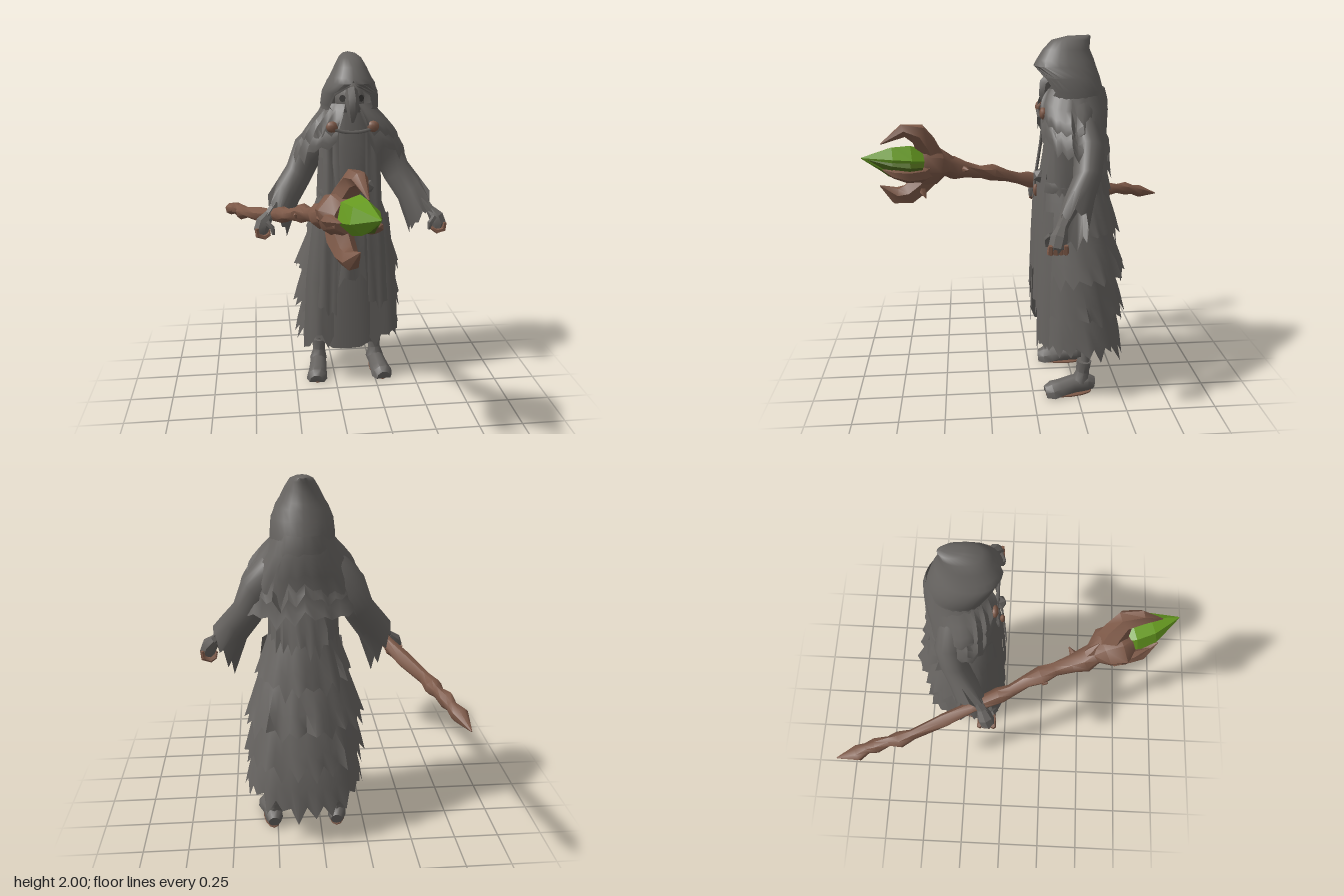
import * as THREE from 'three';
import { toCreasedNormals } from 'three/addons/utils/BufferGeometryUtils.js';

const CX = 0.09; // body centre line
const V = (x, y, z) => new THREE.Vector3(x, y, z);
const lerp = THREE.MathUtils.lerp;
const noise = (i, seed) => {
  const n = Math.sin(i * 12.9898 + seed * 78.233) * 43758.5453;
  return n - Math.floor(n);
};

const material = (name, color, side = THREE.FrontSide) => {
  const m = new THREE.MeshStandardMaterial({ color, side });
  m.name = name;
  return m;
};

// Skin a list of equal-length point rows
function loft(rows, { closed = false, caps = false, crease = 1.0 } = {}) {
  const n = rows[0].length, pos = [], idx = [];
  rows.forEach(r => r.forEach(p => pos.push(p.x, p.y, p.z)));
  for (let i = 0; i < rows.length - 1; i++) {
    for (let j = 0; j < (closed ? n : n - 1); j++) {
      const a = i * n + j, b = i * n + (j + 1) % n;
      idx.push(a, b, b + n, a, b + n, a + n);
    }
  }
  if (caps) [0, rows.length - 1].forEach((i, end) => {
    const c = rows[i].reduce((s, p) => s.add(p), V(0, 0, 0)).divideScalar(n), k = pos.length / 3;
    pos.push(c.x, c.y, c.z);
    for (let j = 0; j < n; j++) {
      const a = i * n + j, b = i * n + (j + 1) % n;
      idx.push(...(end ? [a, b, k] : [b, a, k]));
    }
  });
  const g = new THREE.BufferGeometry();
  g.setAttribute('position', new THREE.Float32BufferAttribute(pos, 3));
  g.setIndex(idx);
  g.computeVertexNormals();
  return toCreasedNormals(g, crease);
}

// Round limb through [x, y, z, radius] stations
function limb(stations, sides = 6, crease = 0.8, gnarl = 0, floor = -1) {
  const pts = stations.map(s => V(s[0], s[1], s[2]));
  let n = V(0.31, 0.9, 0.2);
  const rows = pts.map((p, i) => {
    const t = pts[Math.min(i + 1, pts.length - 1)].clone().sub(pts[Math.max(i - 1, 0)]).normalize();
    n = n.clone().addScaledVector(t, -n.dot(t)).normalize();
    const b = t.clone().cross(n);
    return Array.from({ length: sides }, (_, k) => {
      const a = k / sides * Math.PI * 2, r = stations[i][3] * (1 + gnarl * (noise(k + i * 9, 3) - 0.5));
      const q = p.clone().addScaledVector(n, Math.cos(a) * r).addScaledVector(b, Math.sin(a) * r);
      q.y = Math.max(q.y, floor);
      return q;
    });
  });
  return loft(rows, { closed: true, caps: true, crease });
}

// Point on the body outline, squarer in front than behind; angle 0 is the front
function outline(a, w, zf, zb, y) {
  const e = Math.cos(a) > 0 ? 0.85 : 0.97;
  const p = t => Math.sign(t) * Math.abs(t) ** e;
  return V(CX + w * p(Math.sin(a)), y, (zf + zb) / 2 + (zf - zb) / 2 * p(Math.cos(a)));
}

// Interpolate columns of a table whose first column is the key
function sample(table, key) {
  let i = 0;
  while (i < table.length - 2 && key > table[i + 1][0]) i++;
  const t = THREE.MathUtils.clamp((key - table[i][0]) / (table[i + 1][0] - table[i][0]), 0, 1);
  return table[i].map((v, k) => lerp(v, table[i + 1][k], t));
}

// Pleated, tattered skirt layer hung round the body
function tier(top, bottom, gap, seed, tail = 0, n = 36) {
  const rows = [0, 0.35, 0.7, 1].map(v => Array.from({ length: n + 1 }, (_, j) => {
    const a = gap + (Math.PI * 2 - 2 * gap) * j / n;
    const [y, w, zf, zb] = top.map((t, k) => lerp(t, bottom[k], v));
    const fold = 1 + v * (0.05 * (j % 2) - 0.07 * noise(j, seed));
    const drop = v ** 3 * ((j % 2 ? 0.085 : -0.02) * noise(j, seed + 1) + tail * Math.max(0, -Math.cos(a)) ** 3);
    return outline(a, w * fold, zf, lerp(zf, zb, fold), y - drop);
  }));
  return loft(rows);
}

// Hanging cloth strip following [y, z, centreX, halfWidth] stations
function strip(stations, seed, bend = 0, n = 5) {
  return loft(stations.map(([y, z, x, h], i) => Array.from({ length: n + 1 }, (_, j) => {
    const u = j / n * 2 - 1, last = i === stations.length - 1;
    return V(CX + x + u * h, y - (last ? 0.11 * noise(j, seed) : 0),
      z - 0.016 * noise(j, seed + 2) - bend * Math.max(0, u * Math.sign(x)) ** 2);
  })));
}

export function createModel() {
  const root = new THREE.Group();
  root.name = 'hoodedFigure';
  const cloth = material('greyCloth', 0x666360, THREE.DoubleSide);
  const shade = material('darkEyes', 0x3c3a38, THREE.DoubleSide);
  const wood = material('brownWood', 0x7d5948);
  const green = material('greenCrystal', 0x669a20);
  const olive = material('oliveCrystal', 0x4f6a1c);
  const add = (name, geo, mat = cloth) => {
    const m = new THREE.Mesh(geo, mat);
    m.name = name;
    root.add(m);
    return m;
  };
  const ball = (name, x, y, z, sx, sy, sz, mat) => {
    const m = add(name, new THREE.SphereGeometry(1, 10, 7), mat);
    m.position.set(x, y, z);
    m.scale.set(sx, sy, sz);
    return m;
  };

  // Inner robe: [height, half width, front z, back z], hem dipping at the centre
  const robe = [[1.68, 0.13, -0.11, -0.36], [1.5, 0.19, -0.08, -0.38], [1.2, 0.16, -0.065, -0.39],
    [0.9, 0.21, -0.06, -0.42], [0.6, 0.25, -0.05, -0.45], [0.36, 0.28, -0.045, -0.48]];
  add('innerRobe', loft(robe.map(([y, w, zf, zb], i) => Array.from({ length: 36 }, (_, j) => {
    const a = j / 36 * Math.PI * 2;
    return outline(a, w, zf, zb, y - (i === 5 ? 0.06 * noise(j, 5) + 0.11 * Math.cos(a) ** 6 : 0));
  })), { closed: true }));

  // Overlapping tattered tiers
  [[[1.42, 0.18, -0.06, -0.38], [1.19, 0.19, -0.05, -0.45]],
    [[1.23, 0.165, -0.05, -0.4], [0.97, 0.255, -0.03, -0.485]],
    [[1.02, 0.22, -0.04, -0.42], [0.73, 0.315, -0.03, -0.53]],
    [[0.78, 0.26, -0.03, -0.44], [0.51, 0.325, -0.02, -0.53]],
    [[0.55, 0.27, -0.03, -0.46], [0.33, 0.325, -0.02, -0.54]]
  ].forEach(([t, b], i) => add('skirtTier', tier(t, b, i < 1 ? 0.9 : 0.6, i + 11, i === 4 ? 0.1 : 0.02)));

  // Long front panels, under-panels and sash
  [-1, 1].forEach(s => {
    add('coatPanel', strip([[1.58, -0.075, s * 0.12, 0.045], [1.4, -0.055, s * 0.12, 0.045], [1.2, -0.025, s * 0.12, 0.05],
      [0.9, -0.012, s * 0.14, 0.055], [0.58, -0.001, s * 0.155, 0.06]], s + 4, 0.025));
    add('underPanel', strip([[1.1, -0.04, s * 0.16, 0.06], [0.7, -0.02, s * 0.19, 0.08], [0.36, -0.012, s * 0.2, 0.09]], s + 7, 0.06));
  });
  add('frontSash', strip([[1.22, -0.035, 0, 0.05], [1.05, -0.01, 0.01, 0.06], [0.88, -0.004, 0.005, 0.065], [0.76, -0.001, 0, 0.085]], 9));
  add('belt', loft([1.24, 1.215, 1.18].map((y, i) => Array.from({ length: 28 }, (_, j) =>
    outline(j / 28 * Math.PI * 2, 0.175 + 0.01 * (i % 2), -0.04, -0.41, y))), { closed: true }));
  add('sashKnot', new THREE.IcosahedronGeometry(0.042)).position.set(CX + 0.085, 1.27, -0.045);
  ball('beltBuckle', CX + 0.03, 1.175, -0.025, 0.018, 0.035, 0.015, wood);

  // Shoulder cape: rows run from collar to ragged hem, lowest at the back
  const cape = [[0, 0.16, -0.1, -0.385], [0.2, 0.19, -0.08, -0.405], [0.5, 0.26, -0.06, -0.4],
    [0.8, 0.32, -0.05, -0.4], [1, 0.335, -0.05, -0.43]];
  const capeSheet = (from, to, grow, seed) => loft([0, 0.2, 0.45, 0.7, 0.85, 1].map(v => Array.from({ length: 41 }, (_, j) => {
    const a = 0.22 + (Math.PI * 2 - 0.44) * j / 40, [, w, zf, zb] = sample(cape, v);
    const side = Math.abs(Math.sin(a)), back = Math.max(0, -Math.cos(a));
    const hem = to - 0.13 * side - 0.2 * back - (j % 2) * 0.08 * noise(j, seed);
    const ripple = 1 - 0.05 * v * noise(j, seed + 1);
    return outline(a, w * grow * ripple, zf + 0.01, lerp(zf, zb - 0.01 * grow, ripple), lerp(from, hem, v));
  })));
  add('shoulderCape', capeSheet(1.7, 1.56, 1, 21));
  add('cowl', capeSheet(1.73, 1.65, 0.87, 25));

  // Hood: [height, half width, front z, back z, opening angle]
  const hood = [[2.0, 0, -0.295, -0.305, 0], [1.995, 0.035, -0.19, -0.315, 0], [1.975, 0.062, -0.11, -0.312, 0],
    [1.93, 0.088, -0.065, -0.31, 0], [1.875, 0.115, -0.03, -0.335, 0], [1.845, 0.135, -0.015, -0.345, 0.08],
    [1.79, 0.158, -0.04, -0.365, 0.65], [1.72, 0.165, -0.07, -0.385, 0.85], [1.66, 0.165, -0.08, -0.4, 0.4]];
  const hoodRows = shrink => hood.map(([y, w, zf, zb, gap]) => Array.from({ length: 25 }, (_, j) =>
    outline(gap + (Math.PI * 2 - 2 * gap) * j / 24, w * shrink, lerp(-0.22, zf, shrink), lerp(-0.22, zb, shrink), y - (1 - shrink) * 0.2)));
  add('hood', loft(hoodRows(1)));
  add('hoodLining', loft(hoodRows(0.94)));

  // Masked face with a drooping beak
  ball('maskFace', CX, 1.74, -0.19, 0.085, 0.1, 0.1, cloth);
  add('maskBeak', limb([[CX, 1.8, -0.13, 0.036], [CX, 1.75, -0.08, 0.04], [CX, 1.69, -0.07, 0.03], [CX, 1.63, -0.075, 0.01]], 6));
  [-1, 1].forEach(s => {
    const eye = add('eyeHole', new THREE.CircleGeometry(0.02, 8), shade);
    eye.position.set(CX + s * 0.052, 1.76, -0.1);
    eye.rotation.y = s * 0.5;
  });

  // Clasps joined by a cord
  [-1, 1].forEach(s => ball('clasp', CX + s * 0.115, 1.61, -0.055, 0.034, 0.032, 0.02, wood));
  add('claspCord', new THREE.TubeGeometry(new THREE.QuadraticBezierCurve3(
    V(CX - 0.11, 1.6, -0.05), V(CX, 1.56, -0.04), V(CX + 0.11, 1.6, -0.05)), 10, 0.01, 5));

  [-1, 1].forEach(s => {
    const X = x => CX + s * x;
    const place = list => list.map(([x, y, z, r]) => [X(x), y, z, r]);

    // Wide sleeve: [outer x, outer y, inner x, inner y, z, half depth]
    const sleeve = [[0.2, 1.62, 0.12, 1.4, -0.25, 0.09], [0.31, 1.5, 0.18, 1.34, -0.28, 0.08],
      [0.36, 1.36, 0.225, 1.255, -0.265, 0.075], [0.42, 1.28, 0.3, 1.14, -0.215, 0.08], [0.48, 1.2, 0.37, 0.99, -0.175, 0.085]];
    add('sleeve', loft(sleeve.map(([ox, oy, ix, iy, z, h], i) => Array.from({ length: 16 }, (_, j) => {
      const a = j / 16 * Math.PI * 2, t = (1 - Math.cos(a)) / 2;
      const rag = i === 4 ? 0.07 * noise(j, 31) * (j % 2) : 0;
      return V(X(lerp(ox, ix, t)), lerp(oy, iy, t) - rag, z + h * Math.sin(a));
    })), { closed: true }));

    // Forearm, fist and curled fingers
    add('forearm', limb(place([[0.36, 1.24, -0.22, 0.04], [0.44, 1.14, -0.14, 0.03], [0.49, 1.08, -0.1, 0.028]])));
    add('hand', limb(place([[0.475, 1.1, -0.115, 0.028], [0.51, 1.06, -0.095, 0.045], [0.525, 1.02, -0.085, 0.044], [0.52, 0.99, -0.08, 0.03]]), 7, 0.5));
    for (let f = 0; f < 4; f++) {
      const z = -0.125 + f * 0.025;
      add('finger', limb(place([[0.55, 1.035, z, 0.012], [0.545, 0.995, z, 0.016], [0.505, 0.982, z, 0.015], [0.475, 1.0, z, 0.009]]), 5), wood);
    }
    add('thumb', limb(place([[0.49, 1.07, -0.06, 0.016], [0.46, 1.04, -0.04, 0.016], [0.455, 1.0, -0.04, 0.009]]), 5));

    // Bare knee, leg, ankle boot and sole
    add('knee', limb(place([[0.165, 0.52, -0.27, 0.05], [0.168, 0.36, -0.29, 0.034], [0.17, 0.28, -0.3, 0.027]]), 8), wood);
    add('leg', limb(place([[0.17, 0.29, -0.298, 0.025], [0.176, 0.2, -0.3, 0.026], [0.178, 0.15, -0.3, 0.03]]), 8));
    add('bootCuff', limb(place([[0.18, 0.195, -0.292, 0.044], [0.18, 0.13, -0.285, 0.038], [0.185, 0.07, -0.27, 0.055]]), 8));
    add('shoe', limb(place([[0.18, 0.05, -0.35, 0.035], [0.182, 0.06, -0.31, 0.052], [0.19, 0.055, -0.23, 0.053],
      [0.2, 0.03, -0.16, 0.06], [0.208, 0.018, -0.11, 0.066], [0.212, 0.013, -0.068, 0.045]]), 9, 0.8, 0, 0.007));
    const sole = add('sole', new THREE.CylinderGeometry(1, 1, 0.007, 12), wood);
    sole.position.set(X(0.194), 0.0035, -0.205);
    sole.scale.set(0.05, 1, 0.135);
    sole.rotation.y = s * 0.1;
  });

  // Gnarled, knotty staff
  add('staffShaft', limb([[-0.655, 0.92, -0.91, 0.003], [-0.625, 0.945, -0.79, 0.045], [-0.6, 0.965, -0.74, 0.032],
    [-0.585, 0.975, -0.69, 0.042], [-0.56, 0.985, -0.62, 0.03], [-0.55, 0.985, -0.56, 0.047], [-0.52, 1.005, -0.49, 0.031],
    [-0.44, 1.04, -0.32, 0.04], [-0.37, 1.08, -0.17, 0.032], [-0.31, 1.125, -0.02, 0.047], [-0.285, 1.14, 0.04, 0.033],
    [-0.24, 1.17, 0.12, 0.037], [-0.21, 1.2, 0.2, 0.052], [-0.18, 1.21, 0.27, 0.036], [-0.15, 1.235, 0.36, 0.046],
    [-0.13, 1.25, 0.42, 0.065], [-0.1, 1.27, 0.47, 0.055], [-0.07, 1.29, 0.52, 0.11], [-0.045, 1.3, 0.6, 0.12],
    [-0.02, 1.305, 0.65, 0.085]], 8, 0.9, 0.25), wood);

  // Claws and thorns round the staff head
  [[[-0.06, 1.32, 0.54, 0.075], [-0.02, 1.41, 0.57, 0.07], [0.01, 1.48, 0.61, 0.06], [0.025, 1.5, 0.69, 0.038], [0.05, 1.43, 0.81, 0.003]],
    [[-0.06, 1.25, 0.55, 0.075], [-0.05, 1.18, 0.61, 0.07], [-0.035, 1.13, 0.68, 0.062], [-0.02, 1.125, 0.75, 0.048], [0.01, 1.19, 0.83, 0.003]],
    [[-0.03, 1.28, 0.55, 0.06], [0.04, 1.26, 0.6, 0.05], [0.09, 1.265, 0.67, 0.042], [0.11, 1.28, 0.74, 0.024], [0.1, 1.3, 0.8, 0.003]],
    [[-0.08, 1.29, 0.52, 0.055], [-0.12, 1.29, 0.59, 0.05], [-0.115, 1.3, 0.67, 0.035], [-0.07, 1.31, 0.76, 0.003]],
    [[-0.06, 1.2, 0.6, 0.03], [-0.01, 1.15, 0.6, 0.025], [0.01, 1.11, 0.58, 0.003]],
    [[-0.12, 1.27, 0.42, 0.035], [-0.1, 1.32, 0.46, 0.028], [-0.08, 1.37, 0.49, 0.003]],
    [[-0.14, 1.24, 0.37, 0.025], [-0.09, 1.25, 0.36, 0.018], [-0.06, 1.25, 0.34, 0.003]],
    [[-0.22, 1.19, 0.2, 0.025], [-0.25, 1.19, 0.22, 0.018], [-0.255, 1.2, 0.235, 0.003]]
  ].forEach((p, i) => add(i < 4 ? 'staffClaw' : 'staffThorn', limb(p, 6, 0.8, 0.2), wood));

  // Pointed crystal with a duller shard on its lower left side
  add('crystal', limb([[-0.01, 1.315, 0.6, 0.075], [0.012, 1.32, 0.67, 0.1], [0.04, 1.335, 0.77, 0.082], [0.09, 1.365, 0.91, 0.003]], 6, 0.1), green);
  add('crystalShard', limb([[0.02, 1.3, 0.6, 0.06], [0.04, 1.305, 0.67, 0.085], [0.06, 1.32, 0.76, 0.066], [0.09, 1.36, 0.89, 0.003]], 5, 0.1), olive);

  return root;
}
